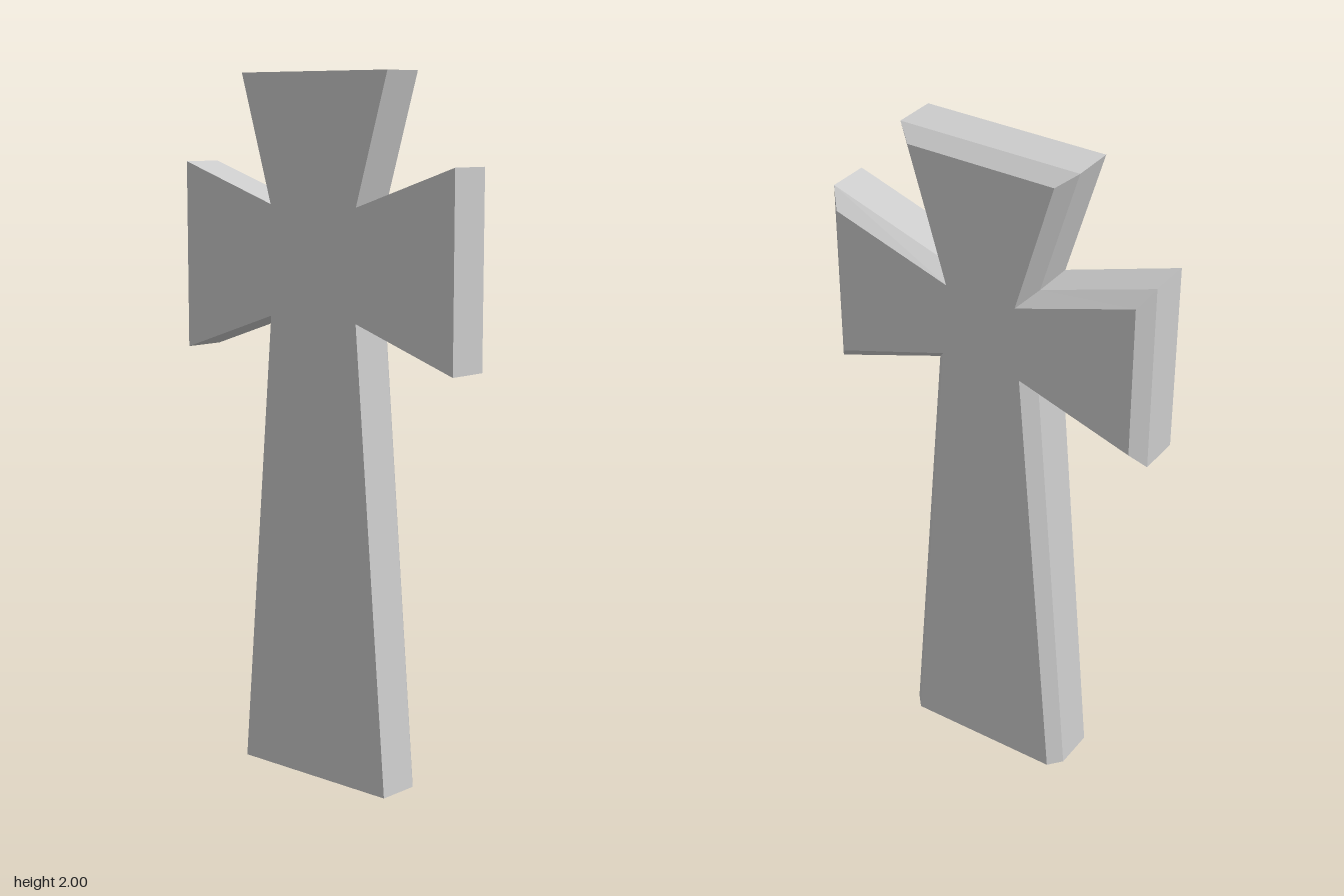
import * as THREE from 'three';

// Half outlines as [z, y], from the foot up to the top edge
const OUTER = [[0.27, 0], [0.16, 1.323], [0.5, 1.208], [0.5, 1.75], [0.16, 1.637], [0.27, 2]];
const INSET = [[0.236, 0], [0.123, 1.366], [0.464, 1.256], [0.464, 1.7], [0.108, 1.584], [0.221, 1.964]];

// Mirror a half outline into a closed loop at depth x
function ring(half, x) {
  const mirrored = half.map(([z, y]) => [-z, y]).reverse();
  return [...half, ...mirrored].map(([z, y]) => new THREE.Vector3(x, y, z));
}

function slabGeometry(rings) {
  const points = [];
  const tri = (a, b, c) => points.push(a, b, c);

  // Walls and bevel between neighbouring loops
  for (let r = 0; r < rings.length - 1; r++) {
    const a = rings[r], b = rings[r + 1];
    for (let i = 0; i < a.length; i++) {
      const j = (i + 1) % a.length;
      tri(a[i], b[i], b[j]);
      tri(a[i], b[j], a[j]);
    }
  }

  // Flat faces on both ends
  const cap = (loop, flip) => {
    const contour = loop.map(p => new THREE.Vector2(p.z, p.y));
    for (const [a, b, c] of THREE.ShapeUtils.triangulateShape(contour, [])) {
      if (flip) tri(loop[a], loop[c], loop[b]);
      else tri(loop[a], loop[b], loop[c]);
    }
  };
  cap(rings[0], false);
  cap(rings[rings.length - 1], true);

  const geometry = new THREE.BufferGeometry().setFromPoints(points);
  geometry.computeVertexNormals();
  return geometry;
}

export function createModel() {
  const group = new THREE.Group();
  group.name = 'stoneCross';

  // Flared cross slab: flat back, straight walls, one bevelled face
  const cross = new THREE.Mesh(
    slabGeometry([ring(OUTER, -0.082), ring(OUTER, 0.042), ring(INSET, 0.082)]),
    new THREE.MeshStandardMaterial({ color: 0xcccccc, flatShading: true })
  );
  cross.name = 'crossSlab';
  group.add(cross);
  return group;
}
